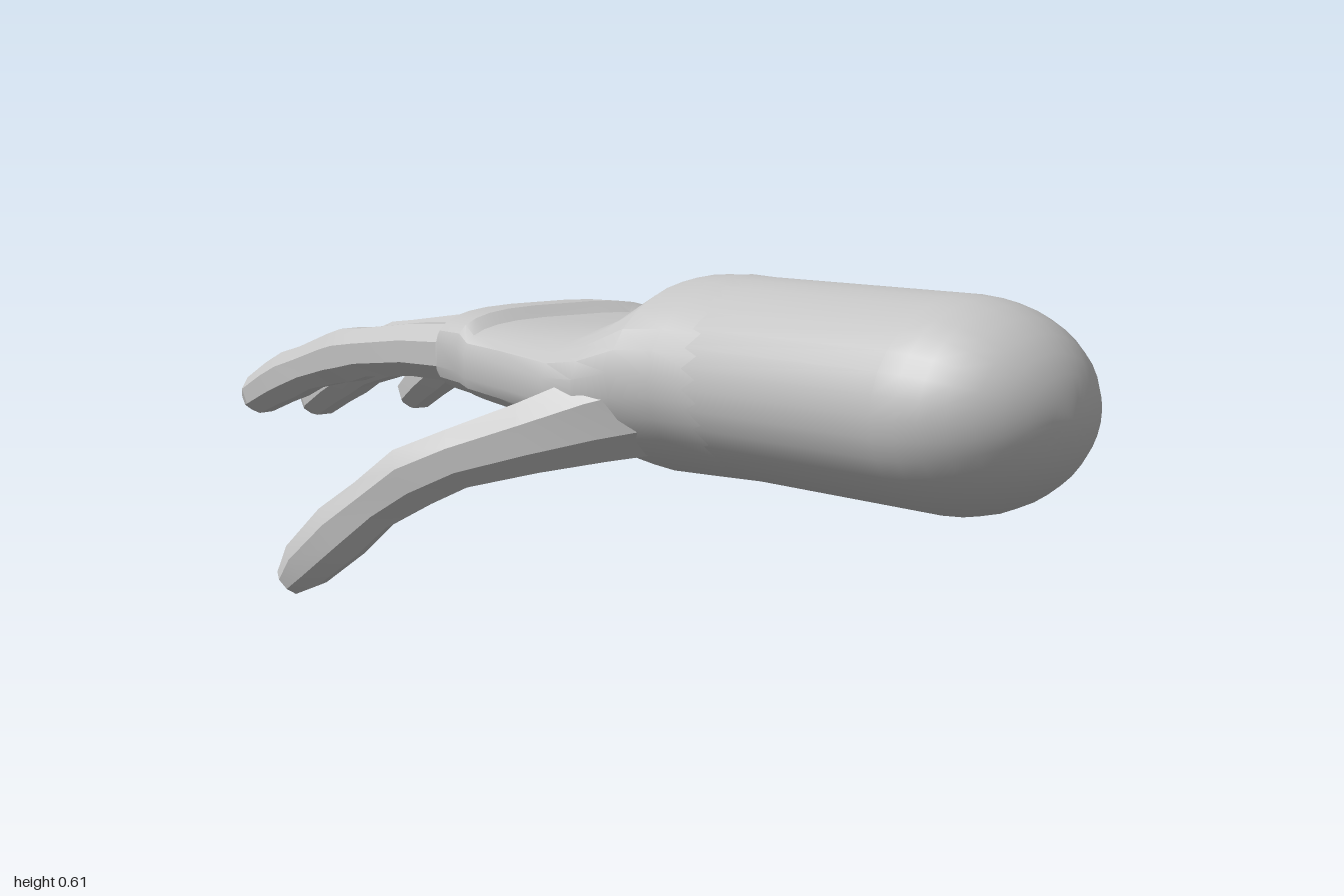
import * as THREE from 'three';
import { toCreasedNormals } from 'three/addons/utils/BufferGeometryUtils.js';

const skin = new THREE.MeshStandardMaterial({ color: 0xc4c4c4 });
const UP = new THREE.Vector3(0, 1, 0);

// Closed skin through rings { p: centre, rx, ry, e: squareness } along a path
function loft(rings, sides) {
  const pos = [], idx = [];
  const last = rings.length - 1;
  rings.forEach((ring, i) => {
    const t = rings[Math.min(i + 1, last)].p.clone().sub(rings[Math.max(i - 1, 0)].p);
    if (ring.flat) t.y = 0;
    t.normalize();
    const r = t.clone().cross(UP).normalize(), u = r.clone().cross(t);
    const k = 2 / (ring.e || 2);
    for (let j = 0; j < sides; j++) {
      const a = (j + 0.5) / sides * Math.PI * 2, c = Math.cos(a), s = Math.sin(a);
      const v = ring.p.clone()
        .addScaledVector(r, Math.sign(c) * Math.abs(c) ** k * ring.rx)
        .addScaledVector(u, Math.sign(s) * Math.abs(s) ** k * ring.ry);
      pos.push(v.x, v.y, v.z);
    }
  });
  for (let i = 0; i < last; i++) for (let j = 0; j < sides; j++) {
    const a = i * sides + j, b = i * sides + (j + 1) % sides;
    idx.push(a, a + sides, b, b, a + sides, b + sides);
  }
  for (let j = 1; j < sides - 1; j++) {
    const o = last * sides;
    idx.push(0, j, j + 1, o, o + j + 1, o + j);
  }
  const g = new THREE.BufferGeometry();
  g.setAttribute('position', new THREE.Float32BufferAttribute(pos, 3));
  g.setIndex(idx);
  return g;
}

function part(group, name, geometry, crease) {
  const mesh = new THREE.Mesh(toCreasedNormals(geometry, crease), skin);
  mesh.name = name;
  group.add(mesh);
  return mesh;
}

// Position along a finger, and thickness there (wider at the joints)
const FINGER = [[0, 1.1], [0.2, 1.0], [0.42, 0.95], [0.5, 1.06], [0.56, 1.0],
  [0.7, 0.88], [0.78, 0.96], [0.86, 0.9], [0.96, 0.8], [1, 0.45]];

function finger(base, tip, radius, bend) {
  return loft(FINGER.map(([t, w]) => ({
    p: new THREE.Vector3(
      THREE.MathUtils.lerp(base[0], tip[0], t),
      THREE.MathUtils.lerp(base[1], tip[1], t ** bend),
      THREE.MathUtils.lerp(base[2], tip[2], t)),
    rx: radius * w, ry: radius * w * 0.95,
  })), 8);
}

export function createModel() {
  const hand = new THREE.Group();
  hand.name = 'hand';

  // Forearm: a flattened capsule with round ends
  const arm = new THREE.CapsuleGeometry(0.215, 0.535, 8, 32);
  arm.rotateX(Math.PI / 2).scale(1, 0.82, 1).translate(0.105, 0.457, 0.5175);
  part(hand, 'forearm', arm, 0.35);

  // Wrist and palm: z, centre x, half width, bottom, top, squareness
  const palm = [
    [0.42, 0.105, 0.212, 0.282, 0.630, 2],
    [0.28, 0.105, 0.222, 0.276, 0.635, 2],
    [0.20, 0.104, 0.243, 0.276, 0.625, 2.1],
    [0.13, 0.103, 0.265, 0.300, 0.570, 2.3],
    [0.06, 0.104, 0.270, 0.330, 0.532, 2.8],
    [-0.08, 0.108, 0.268, 0.355, 0.530, 3.2],
    [-0.19, 0.110, 0.265, 0.368, 0.530, 3.4],
    [-0.225, 0.110, 0.263, 0.372, 0.550, 3.4],
    [-0.30, 0.108, 0.255, 0.378, 0.548, 3.4],
    [-0.36, 0.105, 0.235, 0.395, 0.520, 3],
    [-0.40, 0.095, 0.190, 0.420, 0.490, 2.6],
  ];
  part(hand, 'palm', loft(palm.map(([z, x, rx, lo, hi, e]) => ({
    p: new THREE.Vector3(x, (lo + hi) / 2, z), rx, ry: (hi - lo) / 2, e, flat: true,
  })), 28), 0.45);

  // Four fingers, bending down toward the tips
  const fingers = [
    ['indexFinger', [-0.08, 0.462, -0.29], [-0.185, 0.315, -0.91], 0.058, 2.4],
    ['middleFinger', [0.038, 0.47, -0.29], [0.018, 0.28, -1.0], 0.06, 2.4],
    ['ringFinger', [0.162, 0.467, -0.29], [0.242, 0.28, -0.94], 0.057, 2.3],
    ['littleFinger', [0.29, 0.462, -0.26], [0.425, 0.295, -0.76], 0.047, 1.6],
  ];
  for (const [name, base, tip, radius, bend] of fingers) {
    part(hand, name, finger(base, tip, radius, bend), 0.4);
  }

  // Thumb: swings out to the side and down, x, y, z, radius
  const thumb = [
    [-0.02, 0.415, 0.22, 0.095], [-0.10, 0.385, 0.13, 0.085], [-0.17, 0.345, 0.03, 0.07],
    [-0.24, 0.300, -0.09, 0.06], [-0.29, 0.258, -0.17, 0.064], [-0.33, 0.205, -0.235, 0.055],
    [-0.365, 0.150, -0.29, 0.061], [-0.40, 0.080, -0.36, 0.052], [-0.418, 0.043, -0.393, 0.03],
  ];
  part(hand, 'thumb', loft(thumb.map(([x, y, z, r]) => ({
    p: new THREE.Vector3(x, y, z), rx: r * 0.88, ry: r,
  })), 8), 0.4);

  return hand;
}
